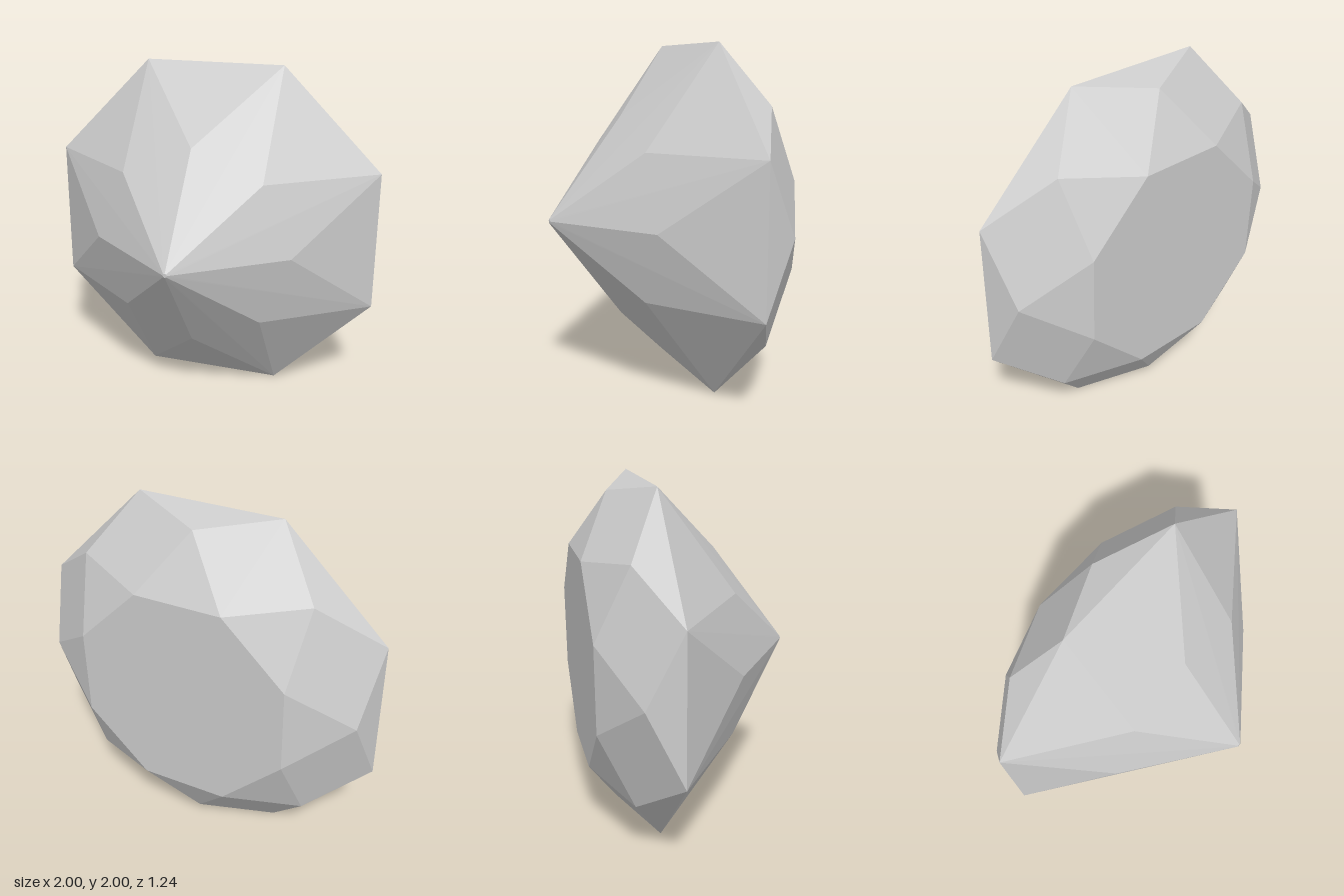
import * as THREE from 'three';

const SIDES = 8;
const STEP = (Math.PI * 2) / SIDES;

// Ring of points around the z axis; turn is in steps.
const ring = (radius, z, turn = 0) => (k) => {
  const a = (k + turn) * STEP;
  return [radius * Math.cos(a), 1 + radius * Math.sin(a), z];
};

// Flat-shaded mesh from convex polygons, each fanned from its first corner.
function facets(name, polygons) {
  const positions = [];
  for (const p of polygons) {
    for (let i = 1; i < p.length - 1; i++) positions.push(...p[0], ...p[i], ...p[i + 1]);
  }
  const geometry = new THREE.BufferGeometry();
  geometry.setAttribute('position', new THREE.Float32BufferAttribute(positions, 3));
  geometry.computeVertexNormals();
  const mesh = new THREE.Mesh(
    geometry,
    new THREE.MeshStandardMaterial({ color: 0xcccccc, flatShading: true })
  );
  mesh.name = name;
  return mesh;
}

export function createModel() {
  const culet = ring(0.012, 0.617);
  const lower = ring(0.586, 0.187);
  const girdle = ring(1.0824, -0.24, 0.5);
  const upper = ring(0.935, -0.432);
  const table = ring(0.65, -0.62, 0.5);

  const pavilion = [], crown = [], culetFace = [], tableFace = [];
  for (let k = 0; k < SIDES; k++) {
    // Pointed front: long kites and the triangles between them
    pavilion.push([girdle(k), lower(k + 1), culet(k + 1), culet(k), lower(k)]);
    pavilion.push([lower(k), girdle(k - 1), girdle(k)]);
    // Back: girdle triangles, kites and table triangles
    crown.push([upper(k), girdle(k), girdle(k - 1)]);
    crown.push([girdle(k), upper(k), table(k), upper(k + 1)]);
    crown.push([upper(k), table(k - 1), table(k)]);
    culetFace.push(culet(k));
    tableFace.unshift(table(k));
  }

  const gem = new THREE.Group();
  gem.name = 'gem';
  gem.add(
    facets('pavilion', pavilion),
    facets('culet', [culetFace]),
    facets('crown', crown),
    facets('table', [tableFace])
  );
  return gem;
}
